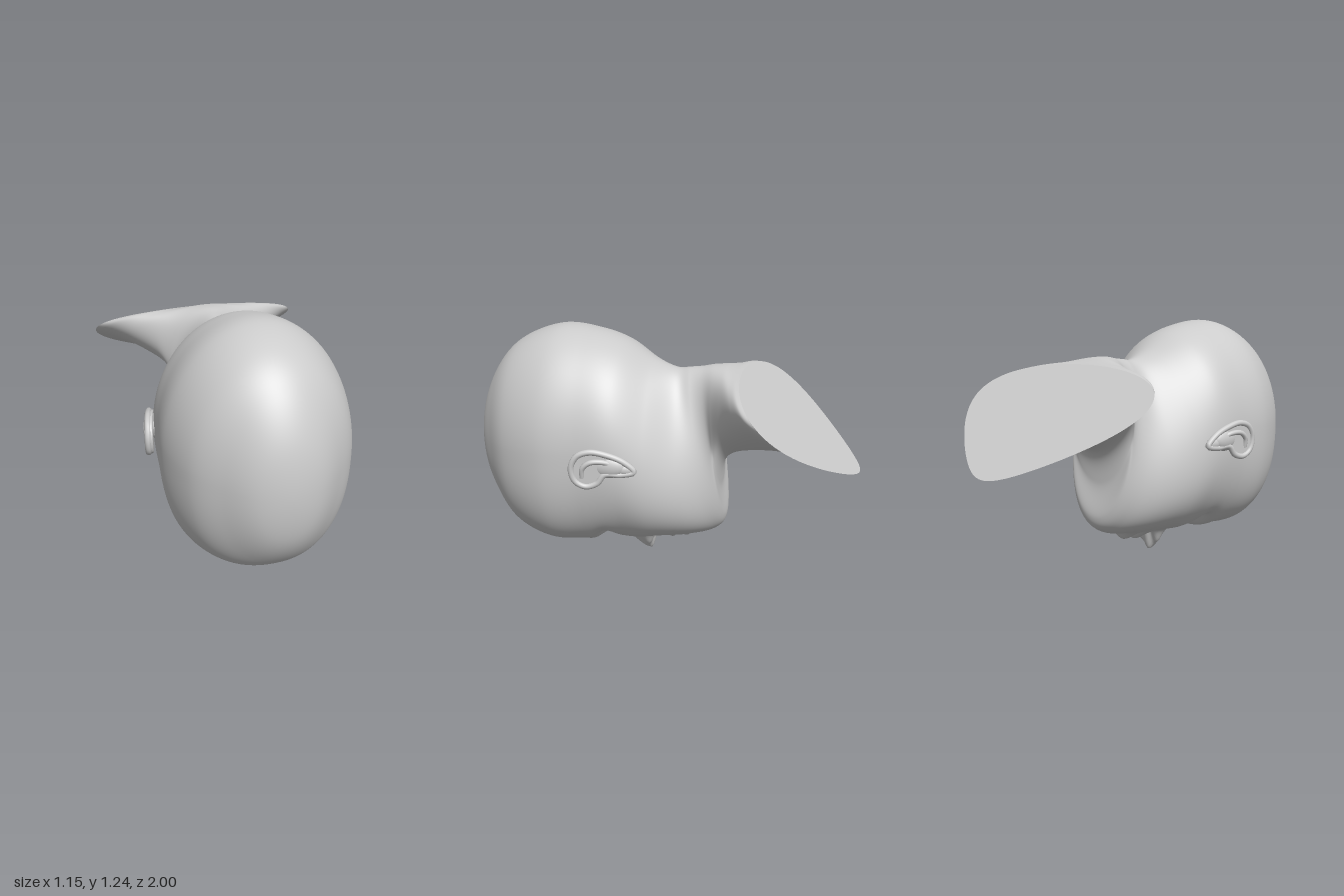
import * as THREE from 'three';

const SIDES = 160, STEPS = 18;

// Rings from crown to neck cut: back z, back y, face z, face y, back width, face width
const RINGS = [
  [1.00, 0.62, 1.00, 0.62, 0, 0],
  [0.97, 0.84, 0.97, 0.40, 0.14, 0.14],
  [0.88, 1.03, 0.88, 0.24, 0.26, 0.26],
  [0.75, 1.16, 0.75, 0.13, 0.375, 0.375],
  [0.55, 1.235, 0.55, 0.078, 0.44, 0.44],
  [0.36, 1.22, 0.34, 0.095, 0.43, 0.43],
  [0.20, 1.17, 0.18, 0.115, 0.405, 0.42],
  [0.05, 1.08, 0.02, 0.125, 0.29, 0.43],
  [-0.06, 1.04, -0.16, 0.145, 0.18, 0.38],
  [-0.13, 1.045, -0.29, 0.18, 0.17, 0.28],
  [-0.19, 1.052, -0.34, 0.26, 0.19, 0.225],
  [-0.25, 1.062, -0.31, 0.44, 0.24, 0.20],
  [-0.31, 1.06, -0.345, 0.60, 0.34, 0.22],
  [-0.35, 1.045, -0.52, 0.655, 0.52, 0.26],
  [-0.375, 1.037, -0.74, 0.65, 0.68, 0.27],
  [-0.39, 1.03, -1.00, 0.57, 0.78, 0.27],
];
const LAST = RINGS.length - 1;

const smooth = THREE.MathUtils.smoothstep;
const lerp = THREE.MathUtils.lerp;
const bump = (x, z, cx, cz, sx, sz) => Math.exp(-(((x - cx) / sx) ** 2) - ((z - cz) / sz) ** 2);
const signedPower = (v, e) => Math.sign(v) * Math.abs(v) ** e;

// Ring before the crown is the next one turned over, so the crown comes out round
function row(k) {
  if (k >= 0) return RINGS[Math.min(k, LAST)];
  const [tz, ty, bz, by, wt, wb] = RINGS[-k];
  return [bz, by, tz, ty, -wt, -wb];
}

function ringAt(k, t) {
  return row(k).map((p1, c) => {
    const p0 = row(k - 1)[c], p2 = row(k + 1)[c], p3 = row(k + 2)[c];
    return p1 + 0.5 * t * (p2 - p0 + t * (2 * p0 - 5 * p1 + 4 * p2 - p3 + t * (3 * (p1 - p2) + p3 - p0)));
  });
}

// How far the face stands out from the plain skull at (x, z)
function faceRelief(x, z) {
  const ax = Math.abs(x);
  const tip = 1 - smooth(z, 0.08, 0.28);
  const root = smooth(z, 0.03, 0.075);
  let h = 0.125 * tip * root * Math.exp(-((ax / (0.03 + 0.022 * tip)) ** 2));     // nose
  h += 0.045 * bump(ax, z, 0.065, 0.08, 0.026, 0.035);                            // nose wings
  h -= 0.035 * bump(ax, z, 0.032, 0.05, 0.016, 0.016);                            // nostrils
  h += 0.012 * bump(ax, z, 0.15, 0.355, 0.12, 0.04);                              // brow
  h -= 0.06 * bump(ax, z, 0.17, 0.27, 0.085, 0.042);                              // eye sockets
  h += 0.012 * bump(ax, z, 0.2, 0.12, 0.09, 0.08);                                // cheeks
  h += 0.045 * bump(ax, z, 0, -0.052, 0.085, 0.026);                              // upper lip
  h += 0.04 * bump(ax, z, 0, -0.128, 0.07, 0.024);                                // lower lip
  h -= 0.025 * bump(ax, z, 0, -0.09, 0.11, 0.012);                                // mouth line
  h -= 0.012 * bump(ax, z, 0, -0.18, 0.08, 0.022);                                // chin crease
  return h;
}

function headPoints() {
  const pos = [];
  for (let r = 0; r <= LAST * STEPS; r++) {
    const [tz, ty, bz, by, wt, wb] = ringAt(Math.floor(r / STEPS), (r % STEPS) / STEPS);
    // The forehead side is squarer than the back of the skull
    const square = 2 + 0.6 * Math.exp(-(((bz - 0.55) / 0.35) ** 2));
    for (let i = 0; i < SIDES; i++) {
      // Corners crowd towards the face
      const t = (i / SIDES) * Math.PI * 2;
      const a = t + 0.6 * Math.sin(t);
      const e = Math.cos(a) < 0 ? 2 / square : 1;
      const u = signedPower(Math.cos(a), e);
      const m = (1 + u) / 2;
      const x = signedPower(Math.sin(a), e) * lerp(wb, wt, m);
      const z = lerp(bz, tz, m);
      let y = lerp(by, ty, m);
      if (z > -0.25 && z < 0.55) y -= faceRelief(x, z) * smooth(-u, 0.3, 0.7);
      pos.push(x, y, z);
    }
  }
  return pos;
}

function geometryFrom(pos, index) {
  const g = new THREE.BufferGeometry();
  g.setAttribute('position', new THREE.Float32BufferAttribute(pos, 3));
  g.setIndex(index);
  g.computeVertexNormals();
  return g;
}

export function createModel() {
  const model = new THREE.Group();
  model.name = 'headBust';
  const material = new THREE.MeshStandardMaterial({ color: 0xcccccc });
  const add = (parent, name, geometry) => {
    const mesh = new THREE.Mesh(geometry, material);
    mesh.name = name;
    parent.add(mesh);
    return mesh;
  };

  // Skull, face and flaring neck as one skin
  const pos = headPoints();
  const index = [];
  for (let j = 0; j < LAST * STEPS; j++) {
    for (let i = 0; i < SIDES; i++) {
      const a = j * SIDES + i, b = j * SIDES + ((i + 1) % SIDES);
      if (j > 0) index.push(a, b, a + SIDES);
      index.push(b, b + SIDES, a + SIDES);
    }
  }
  add(model, 'headAndNeck', geometryFrom(pos, index));

  // Flat cut that closes the neck
  const rim = pos.slice(-SIDES * 3);
  const fan = [];
  for (let i = 0; i < SIDES; i++) fan.push(SIDES, i, (i + 1) % SIDES);
  add(model, 'neckCut', geometryFrom([...rim, 0, 0.8, -0.695], fan));

  // Ear outline in its own plane: x runs from rim to lobe, y towards the back of the head
  const outline = [[0, -0.01], [-0.05, 0.04], [-0.13, 0.075], [-0.21, 0.09], [-0.27, 0.07], [-0.3, 0.015],
    [-0.285, -0.055], [-0.235, -0.085], [-0.18, -0.07], [-0.14, -0.025], [-0.06, -0.025]]
    .map(([x, y]) => new THREE.Vector2(x, y));
  const earShape = new THREE.Shape().moveTo(outline[0].x, outline[0].y);
  earShape.splineThru([...outline.slice(1), outline[0]]);
  const tube = (points, r, closed) => new THREE.TubeGeometry(
    new THREE.CatmullRomCurve3(points.map(([x, y, z]) => new THREE.Vector3(x, y, z)), closed), 70, r, 10, closed);

  for (const side of [1, -1]) {
    const half = new THREE.Group();
    half.name = side > 0 ? 'leftFeatures' : 'rightFeatures';
    half.scale.x = side;
    model.add(half);

    const ear = new THREE.Group();
    ear.name = 'ear';
    ear.position.set(0.39, 0.63, 0.065);
    ear.rotation.y = Math.PI / 2 + 0.22;
    half.add(ear);
    add(ear, 'earPlate', new THREE.ExtrudeGeometry(earShape, {
      depth: 0.012, bevelEnabled: true, bevelThickness: 0.008, bevelSize: 0.006, bevelSegments: 3, curveSegments: 8,
    }));
    add(ear, 'earRim', tube(outline.map((p) => [p.x, p.y, 0.016]), 0.015, true));
    add(ear, 'earFold', tube([[-0.09, 0.02, 0.012], [-0.15, 0.042, 0.022], [-0.21, 0.04, 0.026],
      [-0.245, 0.01, 0.022], [-0.25, -0.04, 0.012]], 0.013, false));
    const lobe = add(ear, 'earLobe', new THREE.SphereGeometry(1, 20, 14));
    lobe.scale.set(0.045, 0.026, 0.018);
    lobe.position.set(-0.04, -0.002, 0.012);

    // Filling between ear and skull
    const root = add(half, 'earRoot', new THREE.SphereGeometry(1, 24, 16));
    root.scale.set(0.04, 0.06, 0.1);
    root.position.set(0.41, 0.64, 0.2);

    // Eyeball with an upper and a lower lid
    const eye = new THREE.Group();
    eye.name = 'eye';
    eye.position.set(0.165, 0.222, 0.27);
    eye.rotation.z = 0.3;
    eye.scale.x = 1.25;
    half.add(eye);
    add(eye, 'eyeball', new THREE.SphereGeometry(0.052, 28, 20));
    for (const [name, tilt] of [['upperLid', -0.38], ['lowerLid', 0.32]]) {
      const lid = add(eye, name, new THREE.TorusGeometry(0.053, 0.009, 10, 32, Math.PI));
      lid.rotation.x = Math.PI + tilt;
    }
  }
  return model;
}
